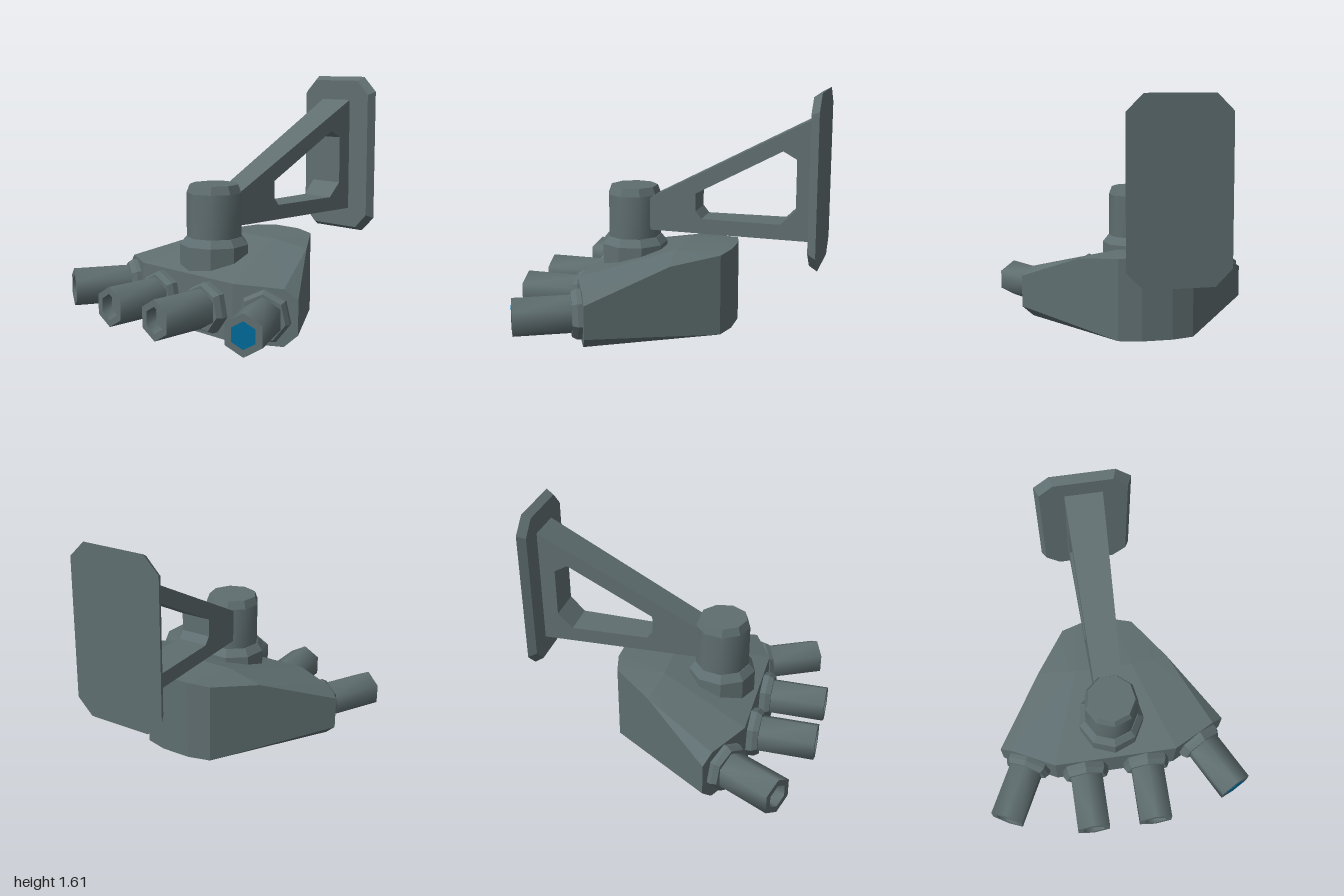
import * as THREE from 'three';
import { toCreasedNormals } from 'three/addons/utils/BufferGeometryUtils.js';
import { ConvexGeometry } from 'three/addons/geometries/ConvexGeometry.js';

const FLAT = 0.1, SMOOTH = 1.1;

export function createModel() {
  const model = new THREE.Group();
  model.name = 'wallMountedManifold';
  const metal = new THREE.MeshStandardMaterial({ color: 0x5f6e70 });
  metal.name = 'grey metal';
  const blue = new THREE.MeshStandardMaterial({ color: 0x00699a });
  blue.name = 'blue';

  function add(parent, name, geometry, material = metal, crease = FLAT) {
    const mesh = new THREE.Mesh(toCreasedNormals(geometry, crease), material);
    mesh.name = name;
    parent.add(mesh);
    return mesh;
  }
  // Upright frustum between two heights
  function frustum(rBottom, rTop, y0, y1, sides, start = 0) {
    return new THREE.CylinderGeometry(rTop, rBottom, y1 - y0, sides, 1, false, start)
      .translate(0, (y0 + y1) / 2, 0);
  }

  // Wedge-shaped body: mirrored corner points
  const corners = [
    [0.43, 0, 0.55], [0.72, 0, 0.40], [0.25, 0, -0.38], [0.1, 0, -0.42],
    [0.8, 0.08, 0.36], [0.8, 0.30, 0.36],
    [0.43, 0.37, 0.55], [0.72, 0.36, 0.40], [0.46, 0.50, -0.10],
    [0.2, 0.54, -0.06], [0.25, 0.54, -0.38], [0.1, 0.55, -0.42],
  ];
  const points = [];
  for (const [x, y, z] of corners) {
    points.push(new THREE.Vector3(x, y, z), new THREE.Vector3(-x, y, z));
  }
  add(model, 'body', new ConvexGeometry(points));

  // Four nozzles fanned along the front
  function nozzle(name, x, z, angle, plugged) {
    const group = new THREE.Group();
    group.name = name;
    const place = (g) => g.rotateX(Math.PI / 2);
    add(group, 'collar', place(frustum(0.168, 0.168, -0.05, 0.04, 7, Math.PI)));
    add(group, 'collarBevel', place(frustum(0.168, 0.148, 0.04, 0.075, 7, Math.PI)));
    const profile = [[0.13, 0], [0.13, 0.45], [0.084, 0.45], [0.074, 0.38], [0, 0.38]]
      .map(([r, y]) => new THREE.Vector2(r, y));
    add(group, 'barrel', place(new THREE.LatheGeometry(profile, 6)), metal, SMOOTH);
    if (plugged) add(group, 'bluePlug', place(frustum(0.084, 0.084, 0.446, 0.453, 6)), blue);
    group.position.set(x, 0.187, z);
    group.rotation.y = angle;
    model.add(group);
  }
  for (const side of [-1, 1]) {
    const label = side > 0 ? 'left' : 'right';
    nozzle(label + 'InnerNozzle', side * 0.22, 0.55, 0, false);
    nozzle(label + 'OuterNozzle', side * 0.612, 0.445, side * 0.475, side > 0);
  }

  // Upright stem on top of the body
  const stem = new THREE.Group();
  stem.name = 'stem';
  add(stem, 'stemCollar', frustum(0.228, 0.228, 0.3, 0.53, 9));
  add(stem, 'stemCollarBevel', frustum(0.228, 0.188, 0.53, 0.58, 9));
  add(stem, 'stemBarrel', frustum(0.183, 0.183, 0.5, 0.87, 9), metal, SMOOTH);
  add(stem, 'stemCap', frustum(0.183, 0.162, 0.87, 0.925, 9));
  stem.position.z = 0.295;
  model.add(stem);

  // Bracket arm: side profile (z, y) with a window, widening towards the wall
  const toPoints = (list) => list.map(([a, b]) => new THREE.Vector2(a, b));
  const armShape = new THREE.Shape(toPoints([
    [0.25, 0.64], [0.25, 0.81], [-0.95, 1.44], [-0.95, 0.64],
  ]));
  armShape.holes.push(new THREE.Path(toPoints([
    [-0.17, 0.91], [-0.75, 1.22], [-0.84, 1.17], [-0.84, 0.84],
    [-0.74, 0.74], [-0.21, 0.74], [-0.17, 0.79],
  ])));
  const arm = new THREE.ExtrudeGeometry(armShape, { depth: 2, bevelEnabled: false });
  arm.translate(0, 0, -1).rotateY(-Math.PI / 2);
  const armPos = arm.attributes.position;
  for (let i = 0; i < armPos.count; i++) {
    const z = armPos.getZ(i);
    armPos.setX(i, armPos.getX(i) * (0.095 - (z - 0.15) * 0.029));
  }
  add(model, 'bracketArm', arm);

  // Wall plate: chamfered rectangle with a smaller front face
  const w = 0.32, h = 0.565, c = 0.105;
  const plate = new THREE.ExtrudeGeometry(new THREE.Shape(toPoints([
    [w - c, -h], [w, c - h], [w, h - c], [w - c, h],
    [c - w, h], [-w, h - c], [-w, c - h], [c - w, -h],
  ])), { depth: 0.055, bevelEnabled: false });
  const platePos = plate.attributes.position;
  for (let i = 0; i < platePos.count; i++) {
    if (platePos.getZ(i) > 0.01) {
      platePos.setX(i, platePos.getX(i) * 0.91);
      platePos.setY(i, platePos.getY(i) * 0.95);
    }
  }
  add(model, 'wallPlate', plate).position.set(0, 1.04, -1);

  return model;
}
